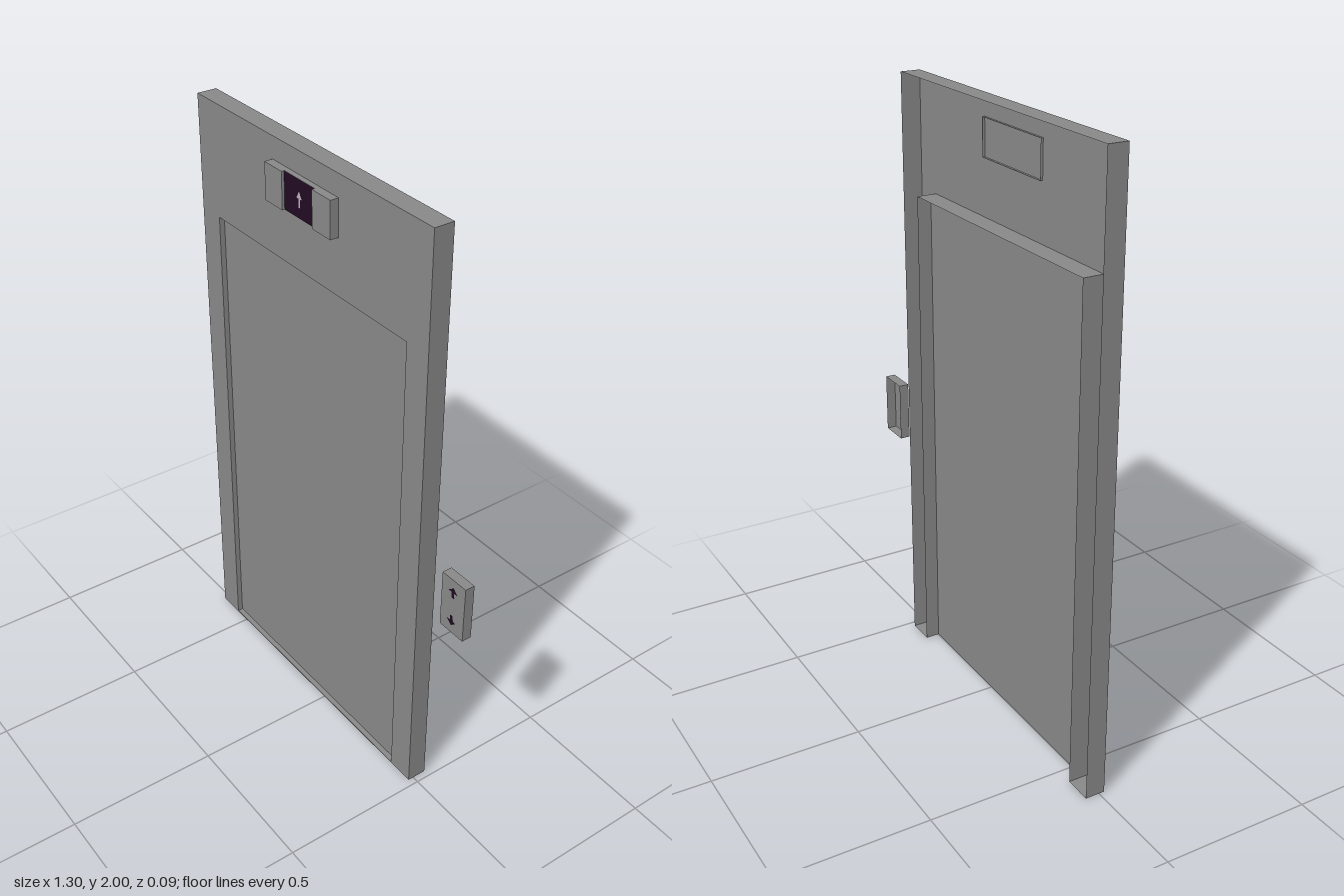
import * as THREE from 'three';

const grey = new THREE.MeshStandardMaterial({ color: 0x888888, side: THREE.DoubleSide });
grey.name = 'brushed grey';
const dark = new THREE.MeshStandardMaterial({ color: 0x220a24, side: THREE.DoubleSide });
dark.name = 'dark purple';
const pale = new THREE.MeshStandardMaterial({ color: 0xb8b0b8, side: THREE.DoubleSide });
pale.name = 'pale grey';

const BACK = -0.047, FRONT = 0.019, DOOR = 0.001;

const rect = (x0, x1, y0, y1) => [[x0, y0], [x0, y1], [x1, y1], [x1, y0]];
const toShape = (pts) => new THREE.Shape(pts.map(([x, y]) => new THREE.Vector2(x, y)));

// Closed ribbon of flat walls following an outline, open at both ends
function wallGeometry(pts, z0, z1) {
  const pos = [];
  pts.forEach(([ax, ay], i) => {
    const [bx, by] = pts[(i + 1) % pts.length];
    pos.push(ax, ay, z0, bx, by, z1, bx, by, z0, ax, ay, z0, ax, ay, z1, bx, by, z1);
  });
  const geo = new THREE.BufferGeometry();
  geo.setAttribute('position', new THREE.Float32BufferAttribute(pos, 3));
  geo.computeVertexNormals();
  return geo;
}

function add(parent, name, geo, mat, z = 0) {
  const mesh = new THREE.Mesh(geo, mat);
  mesh.name = name;
  mesh.position.z = z;
  parent.add(mesh);
  return mesh;
}

// Hollow tray: a face at the front with walls running back
function addTray(parent, name, pts, z0, z1) {
  const tray = new THREE.Group();
  tray.name = name;
  add(tray, name + 'Face', new THREE.ShapeGeometry(toShape(pts)), grey, z1);
  add(tray, name + 'Walls', wallGeometry(pts, z0, z1), grey);
  parent.add(tray);
  return tray;
}

// Small arrow outline, dir 1 points up and -1 points down
function arrow(cx, cy, w, h, dir) {
  const pts = [[-0.15, -0.5], [0.15, -0.5], [0.15, 0.05], [0.5, 0.05], [0, 0.5], [-0.5, 0.05], [-0.15, 0.05]];
  return toShape(pts.map(([x, y]) => [cx + x * w, cy + y * h * dir]));
}

export function createModel() {
  const model = new THREE.Group();
  model.name = 'liftDoor';

  // Hollow surround with the doorway cut out
  addTray(model, 'surround', [
    [-0.65, 0], [-0.65, 2], [0.477, 2], [0.477, 0],
    [0.383, 0], [0.383, 1.627], [-0.557, 1.627], [-0.557, 0],
  ], BACK, FRONT);

  // Recessed door and its narrow sill
  add(model, 'door', new THREE.ShapeGeometry(toShape(rect(-0.557, 0.383, 0, 1.627))), grey, DOOR);
  const sill = add(model, 'sill', new THREE.BoxGeometry(0.94, 0.004, FRONT - DOOR), grey);
  sill.position.set(-0.087, 0.002, (FRONT + DOOR) / 2);

  // Floor indicator: notched housing, rear rim, screen and arrow
  const indicator = new THREE.Group();
  indicator.name = 'floorIndicator';
  const profile = toShape([
    [-0.248, -FRONT], [0.072, -FRONT], [0.072, -0.047], [-0.015, -0.047],
    [-0.015, -0.037], [-0.162, -0.037], [-0.162, -0.047], [-0.248, -0.047],
  ]);
  const housing = new THREE.ExtrudeGeometry(profile, { depth: 0.119, bevelEnabled: false });
  housing.rotateX(-Math.PI / 2).translate(0, 1.81, 0);
  add(indicator, 'indicatorHousing', housing, grey);
  add(indicator, 'indicatorRim', wallGeometry(rect(-0.248, 0.072, 1.81, 1.929), 0.011, FRONT), grey);
  add(indicator, 'indicatorScreen', new THREE.ShapeGeometry(toShape(rect(-0.162, -0.015, 1.81, 1.929))), dark, 0.038);
  add(indicator, 'indicatorArrow', new THREE.ShapeGeometry(arrow(-0.088, 1.868, 0.026, 0.05, 1)), pale, 0.039);
  model.add(indicator);

  // Call panel beside the door, with arrows showing through both sides
  const panel = addTray(model, 'callPanel', rect(0.547, 0.65, 0.725, 0.922), BACK, -0.014);
  for (const [name, y, dir] of [['upButton', 0.875, 1], ['downButton', 0.77, -1]]) {
    const geo = new THREE.ExtrudeGeometry(arrow(0.597, y, 0.036, 0.036, dir), { depth: 0.002, bevelEnabled: false });
    add(panel, name, geo, dark, -0.015);
  }
  return model;
}
